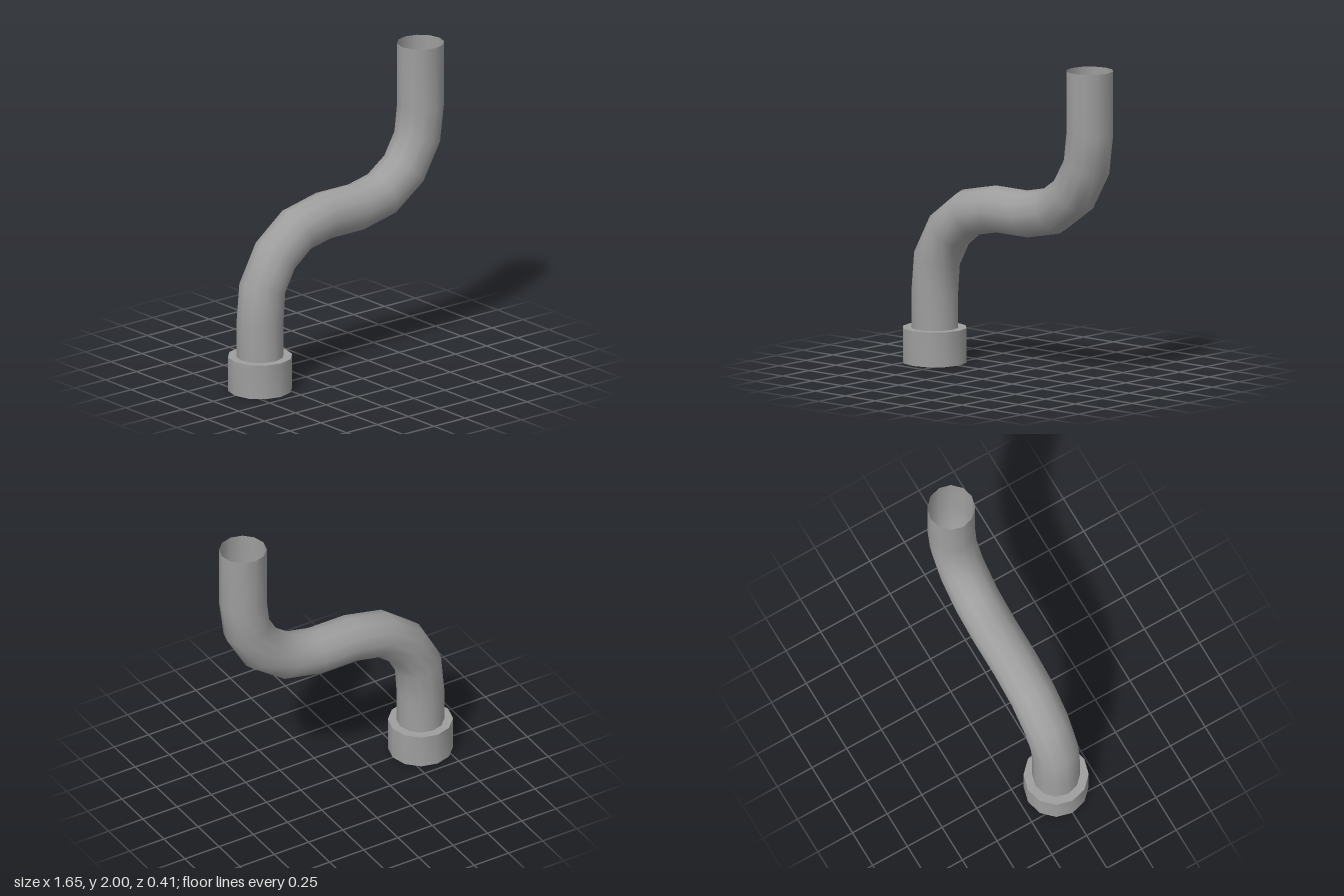
import * as THREE from 'three';
import { toCreasedNormals } from 'three/addons/utils/BufferGeometryUtils.js';

const SIDES = 12;
const PIPE_RADIUS = 0.149;

// Centre line of the pipe: x, y, lean from vertical in degrees
const STATIONS = [
  [-0.623, 0.22, 0],
  [-0.623, 0.44, 0],
  [-0.604, 0.66, 16],
  [-0.5, 0.85, 42],
  [-0.328, 0.983, 65],
  [-0.11, 1.03, 90],
  [0.15, 1.03, 90],
  [0.36, 1.075, 66],
  [0.537, 1.2, 42],
  [0.646, 1.388, 18],
  [0.673, 1.6, 0],
  [0.673, 2, 0],
];

// Open tube skinned over one ring per station
function pipeGeometry() {
  const positions = [];
  const indices = [];
  STATIONS.forEach(([x, y, degrees], ring) => {
    const lean = THREE.MathUtils.degToRad(degrees);
    for (let i = 0; i < SIDES; i++) {
      const t = (i / SIDES) * Math.PI * 2;
      const across = PIPE_RADIUS * Math.cos(t);
      positions.push(
        x + across * Math.cos(lean),
        y - across * Math.sin(lean),
        -PIPE_RADIUS * Math.sin(t)
      );
      if (ring === 0) continue;
      const next = (i + 1) % SIDES;
      const a = (ring - 1) * SIDES + i;
      const b = (ring - 1) * SIDES + next;
      const c = ring * SIDES + next;
      const d = ring * SIDES + i;
      indices.push(a, b, d, b, c, d);
    }
  });
  const geometry = new THREE.BufferGeometry();
  geometry.setAttribute('position', new THREE.Float32BufferAttribute(positions, 3));
  geometry.setIndex(indices);
  geometry.computeVertexNormals();
  return geometry;
}

// Thick collar with a hole through it
function collarGeometry() {
  const profile = [[0.112, 0], [0.203, 0], [0.203, 0.22], [0.112, 0.22], [0.112, 0]]
    .map(([r, y]) => new THREE.Vector2(r, y));
  return toCreasedNormals(new THREE.LatheGeometry(profile, SIDES), 0.8);
}

export function createModel() {
  const group = new THREE.Group();
  group.name = 'bentPipe';
  const material = new THREE.MeshStandardMaterial({ color: 0x9e9e9e, side: THREE.DoubleSide });

  const pipe = new THREE.Mesh(pipeGeometry(), material);
  pipe.name = 'pipe';
  group.add(pipe);

  const collar = new THREE.Mesh(collarGeometry(), material);
  collar.name = 'collar';
  collar.position.x = -0.623;
  group.add(collar);

  return group;
}
